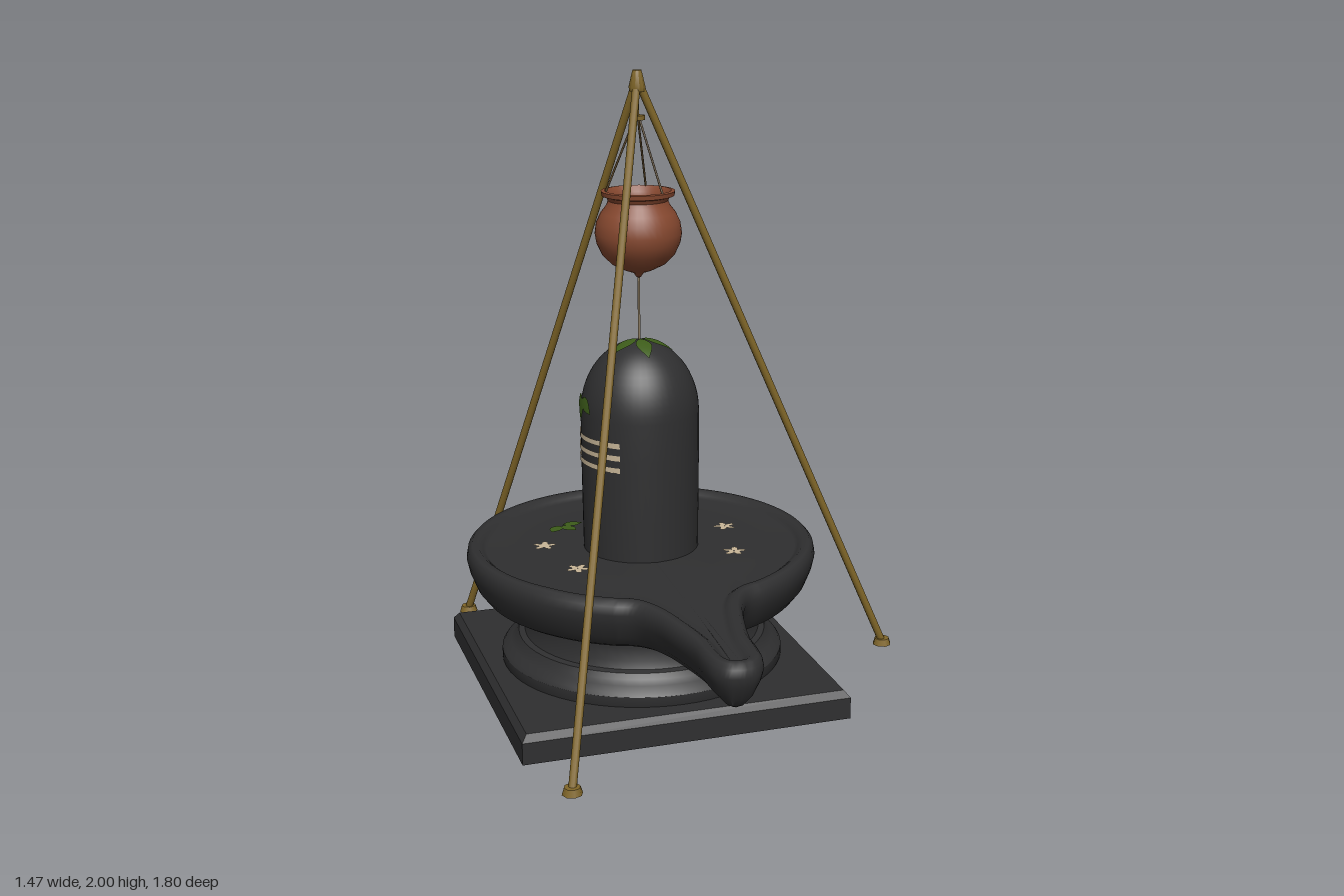
import * as THREE from 'three';
import { toCreasedNormals } from 'three/addons/utils/BufferGeometryUtils.js';

const mat = (name, color, side = THREE.FrontSide) => {
  const m = new THREE.MeshStandardMaterial({ color, side });
  m.name = name;
  return m;
};
const V2 = (x, y) => new THREE.Vector2(x, y);
const V3 = (x, y, z) => new THREE.Vector3(x, y, z);

export function createModel() {
  const stone = mat('dark stone', 0x2f2f30);
  const brass = mat('brass', 0x806628);
  const clay = mat('terracotta', 0x86482f, THREE.DoubleSide);
  const cord = mat('cord', 0x5a4628);
  const thread = mat('pale thread', 0x8a7a60);
  const green = mat('leaf green', 0x3d5c1a, THREE.DoubleSide);
  const cream = mat('cream', 0xc8b698, THREE.DoubleSide);

  const model = new THREE.Group();
  const root = new THREE.Group(); // everything is arranged around the column axis
  root.name = 'shrine';
  root.position.set(-0.17, 0, -0.12);
  model.add(root);

  const add = (name, geo, material, x = 0, y = 0, z = 0) => {
    const m = new THREE.Mesh(geo, material);
    m.name = name;
    m.position.set(x, y, z);
    root.add(m);
    return m;
  };
  const lathe = (pts, seg = 48, crease = 0.5) =>
    toCreasedNormals(new THREE.LatheGeometry(pts.map(p => V2(...p)), seg), crease);
  const rod = (name, a, b, r, material, seg = 8) => {
    const d = b.clone().sub(a);
    const m = add(name, new THREE.CylinderGeometry(r, r, d.length(), seg), material);
    m.position.copy(a).addScaledVector(d, 0.5);
    m.quaternion.setFromUnitVectors(V3(0, 1, 0), d.normalize());
    return m;
  };

  // Square plinth with a bevelled top
  add('plinth', new THREE.BoxGeometry(1.06, 0.07, 1.06), stone, 0, 0.035);
  const bevel = new THREE.CylinderGeometry(1.025 * Math.SQRT1_2, 1.06 * Math.SQRT1_2, 0.022, 4).toNonIndexed();
  bevel.rotateY(Math.PI / 4);
  bevel.computeVertexNormals();
  add('plinthBevel', bevel, stone, 0, 0.081);

  // Round moulded pedestal
  add('pedestal', lathe([[0.455, 0.085], [0.46, 0.095], [0.46, 0.125], [0.452, 0.137], [0.43, 0.15],
    [0.415, 0.165], [0.405, 0.182], [0.385, 0.186], [0.375, 0.21], [0.37, 0.25], [0.37, 0.28]], 64), stone);

  add('basin', basinGeometry(), stone);

  // Domed column
  const R = 0.19, domeY = 0.92, domeH = 0.23;
  const column = [[0.186, 0.44], [0.188, 0.6], [R, 0.8]];
  for (let i = 0; i <= 14; i++) {
    const a = i / 14 * Math.PI / 2;
    column.push([Math.max(R * Math.cos(a), 0), domeY + domeH * Math.sin(a)]);
  }
  add('column', lathe(column, 48, 0.8), stone);

  // Three painted bands on the column side
  for (const y of [0.77, 0.81, 0.85])
    add('paintedBand', new THREE.CylinderGeometry(0.1935, 0.1935, 0.017, 20, 1, true,
      Math.PI * 1.5 - 0.95, 1.9), cream, 0, y);

  // Leaf sprigs: three leaflets laid onto a surface by a mapping (u, v) -> point
  const sprig = (name, len, width, spread, map) => {
    for (const a of [-spread, 0, spread]) {
      const g = new THREE.PlaneGeometry(1, 1, 4, 8), p = g.attributes.position;
      for (let i = 0; i < p.count; i++) {
        const t = p.getY(i) + 0.5;
        const w = p.getX(i) * width * Math.sin(Math.PI * Math.pow(t, 0.85));
        const l = 0.008 + t * len;
        const q = map(l * Math.sin(a) + w * Math.cos(a), l * Math.cos(a) - w * Math.sin(a));
        p.setXYZ(i, q.x, q.y, q.z);
      }
      g.computeVertexNormals();
      add(name, g, green);
    }
  };
  sprig('topLeaf', 0.1, 0.05, 1.25, (u, v) =>
    V3(u, domeY + domeH * Math.sqrt(1 - (u * u + v * v) / (R * R)) + 0.006, v));
  sprig('sideLeaf', 0.075, 0.04, 0.95, (u, v) => {
    const y = 0.985 - v, k = Math.max(0, (y - domeY) / domeH);
    const r = R * Math.sqrt(1 - k * k) + 0.006;
    return V3(-r * Math.cos(u / R), y, r * Math.sin(u / R));
  });
  for (const [x, z, turn] of [[-0.21, -0.24, 0.5], [0.17, -0.25, 2.6]])
    sprig('basinLeaf', 0.068, 0.042, 1.15, (u, v) => V3(
      x + u * Math.cos(turn) + v * Math.sin(turn), 0.472, z - u * Math.sin(turn) + v * Math.cos(turn)));

  // Five-petalled flowers on the basin floor
  [[-0.31, -0.06], [0.31, -0.06], [-0.26, 0.18], [0.26, 0.18]].forEach(([x, z], n) => {
    for (let i = 0; i < 5; i++) {
      const a = i / 5 * Math.PI * 2 + n * 0.4;
      const petal = new THREE.CircleGeometry(1, 10);
      petal.rotateX(-Math.PI / 2).scale(0.019, 1, 0.0105).translate(0.02, 0, 0).rotateY(a);
      add('petal', petal, cream, x, 0.472, z);
    }
  });

  // Hanging pot with an open mouth and a drip spout
  add('pot', lathe([[0.001, 1.352], [0.008, 1.355], [0.016, 1.368], [0.045, 1.378], [0.085, 1.398], [0.115, 1.428],
    [0.132, 1.465], [0.137, 1.495], [0.132, 1.53], [0.118, 1.56], [0.1, 1.583], [0.094, 1.598], [0.1, 1.61],
    [0.114, 1.614], [0.116, 1.628], [0.104, 1.63], [0.088, 1.61], [0.085, 1.595], [0.108, 1.56], [0.124, 1.5],
    [0.108, 1.435], [0.06, 1.395], [0.001, 1.385]], 40, 0.7), clay);
  rod('dripThread', V3(0, 1.14, 0), V3(0, 1.36, 0), 0.004, thread, 6);

  // Hanger and its three cords
  rod('hangerRod', V3(0, 1.85, 0), V3(0, 1.96, 0), 0.006, brass);
  add('hangerDisc', new THREE.CylinderGeometry(0.024, 0.024, 0.014, 12), brass, 0, 1.855);
  for (let i = 0; i < 3; i++) {
    const a = Math.PI / 3 + i * Math.PI * 2 / 3;
    rod('potCord', V3(0.008 * Math.cos(a), 1.853, 0.008 * Math.sin(a)),
      V3(0.107 * Math.cos(a), 1.622, 0.107 * Math.sin(a)), 0.0035, cord, 6);
  }

  // Tripod legs, feet and cap
  for (let i = 0; i < 3; i++) {
    const a = i * Math.PI * 2 / 3, c = Math.cos(a), s = Math.sin(a);
    rod('tripodLeg', V3(0.868 * c, 0.01, 0.868 * s), V3(0.008 * c, 1.955, 0.008 * s), 0.0125, brass, 10);
    add('tripodFoot', new THREE.CylinderGeometry(0.025, 0.032, 0.022, 8), brass, 0.868 * c, 0.011, 0.868 * s);
  }
  add('tripodCap', lathe([[0, 1.935], [0.024, 1.935], [0.027, 1.948], [0.017, 1.99], [0.014, 2], [0, 2]], 12), brass);

  return model;
}

// Round basin that runs out into a channelled spout, built from rings that follow one outline
function basinGeometry() {
  const RIM = 0.567;
  const spout = new THREE.CatmullRomCurve3([[0, 1.02], [0.045, 1.008], [0.077, 0.965], [0.087, 0.9], [0.09, 0.82],
    [0.115, 0.7], [0.145, 0.6], [0.185, 0.537], [0.24, 0.514]].map(([x, z]) => V3(x, 0, z)));
  const half = spout.getPoints(32).map(p => V2(p.x, p.z));
  const a0 = Math.atan2(0.24, 0.514);
  for (let i = 1; i <= 40; i++) {
    const a = a0 + (Math.PI - a0) * i / 40;
    half.push(V2(RIM * Math.sin(a), RIM * Math.cos(a)));
  }
  const outline = [...half, ...half.slice(1, -1).reverse().map(p => V2(-p.x, p.y))];
  const n = outline.length;
  const inset = d => outline.map((p, i) => {
    const t = outline[(i + 1) % n].clone().sub(outline[(i + n - 1) % n]).normalize();
    return V2(p.x + t.y * d, p.y - t.x * d);
  });
  const drop = (z, amount) => amount * THREE.MathUtils.clamp((z - 0.35) / 0.67, 0, 1);
  const rings = [];
  const ring = (pts, y, fall) => rings.push(pts.map(p => V3(p.x, y - drop(p.y, fall), p.y)));
  const toCircle = (pts, r, t) => pts.map(p => p.clone().lerp(p.clone().setLength(r), t));

  // underside, from the neck outwards
  const under = inset(0.078);
  ring(toCircle(under, 0.366, 1), 0.255, 0);
  ring(toCircle(under, 0.38, 1), 0.275, 0);
  ring(toCircle(under, 0.41, 1), 0.293, 0);
  ring(toCircle(under, 0.42, 0.5), 0.302, 0.02);
  ring(under, 0.311, 0.02);
  // side and rim
  for (const [d, y, f] of [[0.055, 0.325, 0.022], [0.028, 0.36, 0.025], [0.008, 0.41, 0.03], [0, 0.445, 0.035],
    [0.005, 0.472, 0.037], [0.018, 0.486, 0.037], [0.038, 0.487, 0.037], [0.054, 0.474, 0.037]]) ring(inset(d), y, f);
  // channel and floor
  const floor = inset(0.066);
  [0, 0.3, 0.6, 1].forEach(t => ring(toCircle(floor, 0.16, t), 0.465, 0.037));

  const pos = rings.flat().flatMap(p => [p.x, p.y, p.z]);
  const idx = [];
  for (let r = 0; r < rings.length - 1; r++)
    for (let i = 0; i < n; i++) {
      const a = r * n + i, b = r * n + (i + 1) % n;
      idx.push(a, b, b + n, a, b + n, a + n);
    }
  const g = new THREE.BufferGeometry();
  g.setAttribute('position', new THREE.Float32BufferAttribute(pos, 3));
  g.setIndex(idx);
  g.computeVertexNormals();
  return g;
}
